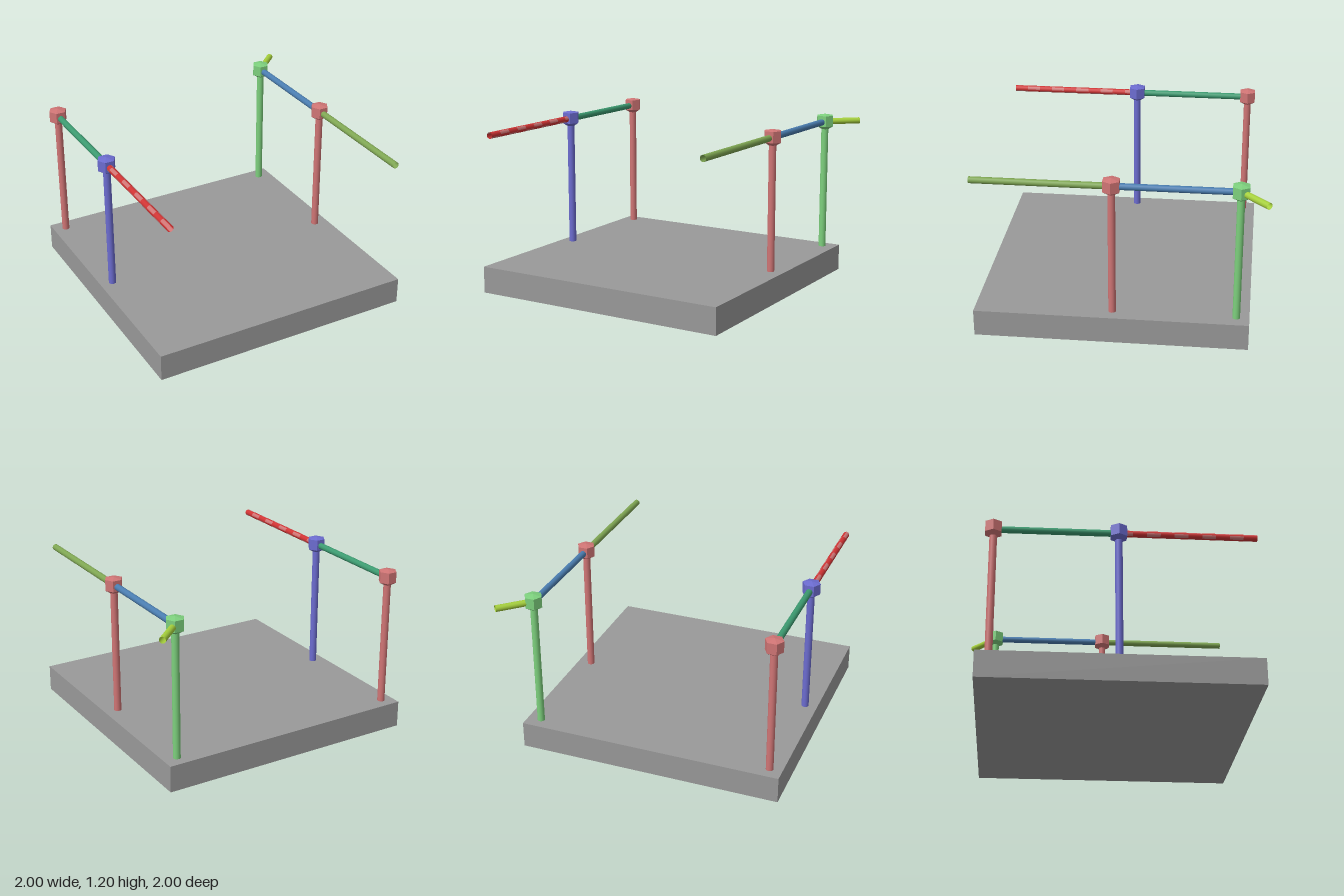
import * as THREE from 'three';

const mat = (name, color, side = THREE.FrontSide) => {
  const m = new THREE.MeshStandardMaterial({ color, side });
  m.name = name;
  return m;
};

export function createModel() {
  const group = new THREE.Group();
  const D = THREE.DoubleSide;
  const M = {
    grey: mat('grey', 0x999999),
    pink: mat('dusty red', 0xd07575, D),
    violet: mat('violet blue', 0x6c6cd0),
    green: mat('light green', 0x7dd07d),
    teal: mat('teal', 0x3c9a70, D),
    blue: mat('steel blue', 0x4a7db0, D),
    olive: mat('olive green', 0x7fa653, D),
    lime: mat('lime', 0xa5cf3c, D),
    red: mat('red', 0xd03434, D),
  };
  const add = (name, geo, material) => {
    const mesh = new THREE.Mesh(geo, material);
    mesh.name = name;
    group.add(mesh);
    return mesh;
  };

  const baseTop = 0.19, railY = 1.137;
  const left = 0.79, right = -0.91, mid = 0.05, back = -0.8;

  // Base slab
  add('base', new THREE.BoxGeometry(1.89, baseTop, 1.89), M.grey)
    .position.set(-0.055, baseTop / 2, 0.055);

  // Faceted six-sided joint, corners on the x axis
  const profile = [[0.02, -0.06], [0.064, -0.033], [0.064, 0.046], [0, 0.058]]
    .map(([r, y]) => new THREE.Vector2(r, y));
  const jointGeo = new THREE.LatheGeometry(profile, 6, Math.PI / 2).toNonIndexed();
  jointGeo.computeVertexNormals();

  // Posts with a joint on top
  const postHeight = railY - baseTop;
  const postGeo = new THREE.CylinderGeometry(0.026, 0.026, postHeight, 20);
  for (const [name, x, z, m] of [
    ['rightBack', right, back, M.pink],
    ['rightMiddle', right, mid, M.violet],
    ['leftMiddle', left, mid, M.pink],
    ['leftBack', left, back, M.green],
  ]) {
    add(name + 'Post', postGeo, m).position.set(x, baseTop + postHeight / 2, z);
    add(name + 'Joint', jointGeo, m).position.set(x, railY, z);
  }

  // Open-ended rails between two points in plan
  const up = new THREE.Vector3(0, 1, 0);
  const rail = (name, a, b, material, rows = 1) => {
    const p = new THREE.Vector3(a[0], railY, a[1]);
    const q = new THREE.Vector3(b[0], railY, b[1]);
    const dir = q.clone().sub(p);
    const geo = new THREE.CylinderGeometry(0.023, 0.023, dir.length(), 16, rows, true);
    const mesh = add(name, geo, material);
    mesh.position.copy(p).add(q).multiplyScalar(0.5);
    mesh.quaternion.setFromUnitVectors(up, dir.normalize());
    return mesh;
  };
  rail('rightBackRail', [right, back], [right, mid], M.teal);
  rail('leftBackRail', [left, back], [left, mid], M.blue);
  rail('leftFrontRail', [left, mid], [left, 1], M.olive);
  rail('cornerRail', [left, back], [0.983, -0.983], M.lime);

  // Red rail with staggered pale dashes
  const rows = 10, cols = 16;
  const dashed = rail('rightFrontRail', [right, mid], [right, 1], [M.red, M.pink], rows);
  dashed.geometry.clearGroups();
  for (let c = 0; c < cols; c++) {
    for (let r = 0; r < rows; r++) {
      const pale = (Math.floor(c / 4) + r) % 2 === 0 && c % 4 < 3;
      dashed.geometry.addGroup((c * rows + r) * 6, 6, pale ? 1 : 0);
    }
  }
  return group;
}
